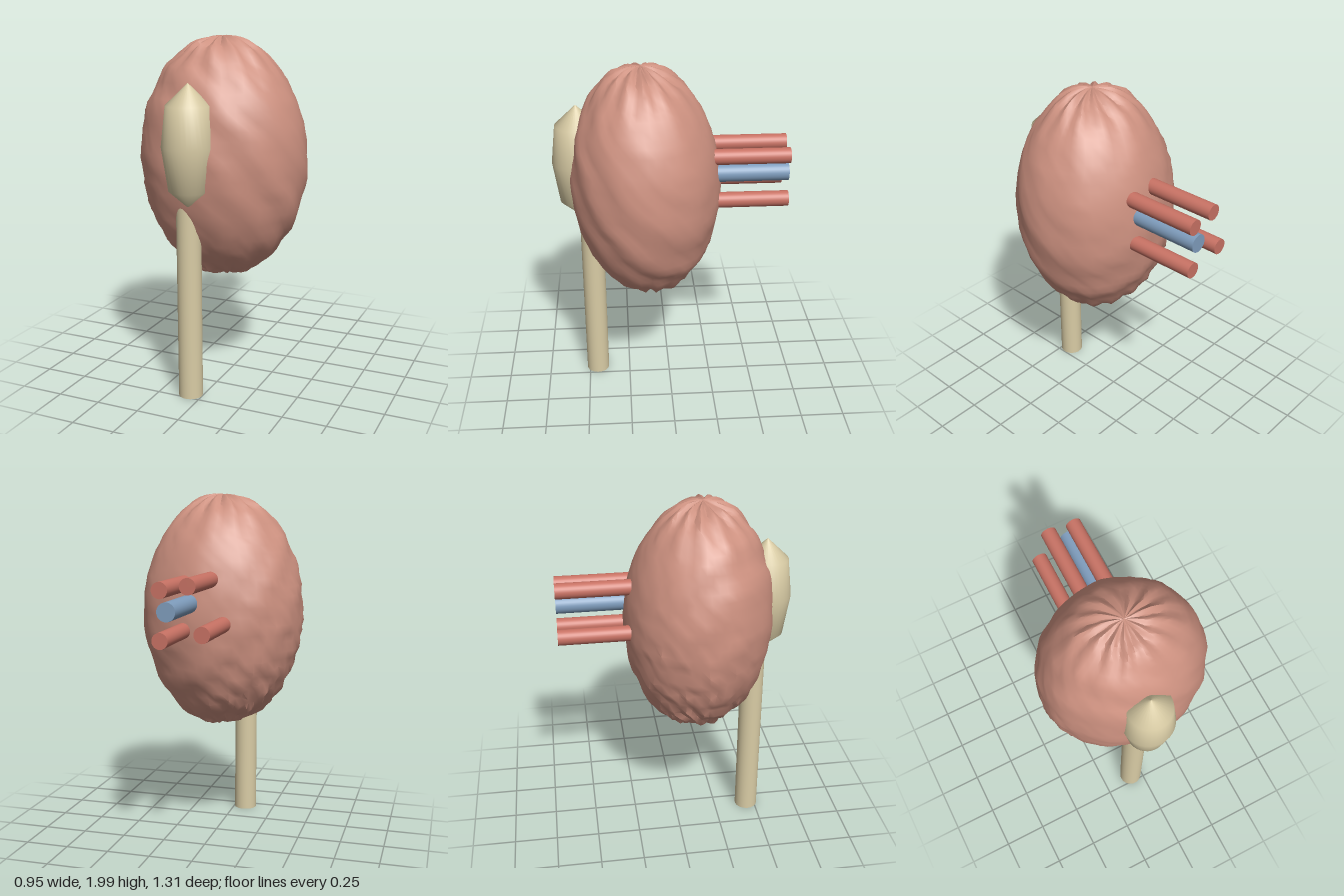
import * as THREE from 'three';
import { mergeVertices, toCreasedNormals } from 'three/addons/utils/BufferGeometryUtils.js';

const material = (color) => new THREE.MeshStandardMaterial({ color, side: THREE.DoubleSide });
const flesh = material(0xcd9180);
const red = material(0xc87264);
const blue = material(0x7f9dbd);
const cream = material(0xd9cca5);

function addPart(group, name, geometry, mat, x, y, z) {
  const mesh = new THREE.Mesh(geometry, mat);
  mesh.name = name;
  mesh.position.set(x, y, z);
  group.add(mesh);
  return mesh;
}

// Egg-shaped organ: an ellipsoid with soft lumps, pleats at the poles and ragged folds
function organGeometry() {
  let geo = new THREE.SphereGeometry(1, 56, 40);
  geo.deleteAttribute('uv');
  geo.deleteAttribute('normal');
  geo = mergeVertices(geo, 1e-4);
  const p = geo.attributes.position;
  const v = new THREE.Vector3();
  for (let i = 0; i < p.count; i++) {
    v.fromBufferAttribute(p, i);
    const angle = Math.atan2(v.z, v.x);
    const ring = Math.hypot(v.x, v.z);
    // Broad lumps over the whole surface
    let r = 1 + 0.012 * Math.sin(7 * v.x + 4 * v.y) * Math.cos(6 * v.z - 5 * v.y)
      + 0.008 * Math.sin(13 * v.y + 9 * v.x - 8 * v.z);
    // Spiral pleats gathered toward the top and bottom
    const pleat = Math.pow(Math.abs(v.y), 4) * Math.min(1, ring * 3);
    r += 0.022 * pleat * Math.sin(13 * angle + 5 * v.y * ring);
    // Stepped folds, strongest on the lower right of the back
    const ragged = 0.012 + 0.035 * THREE.MathUtils.smoothstep(-v.x - 0.8 * v.y - 0.2 * v.z, 0.3, 1.2);
    const fold = 5 * v.y + 0.5 * Math.sin(9 * angle) + 0.25 * Math.sin(17 * angle + 3 * v.y);
    r += ragged * (fold - Math.floor(fold) - 0.5) * Math.min(1, ring * 2);
    const twist = 0.025 * Math.sin(11 * v.y + 3 * angle);
    const c = Math.cos(twist), s = Math.sin(twist);
    p.setXYZ(i,
      0.472 * r * (v.x * c - v.z * s),
      0.67 * r * v.y,
      0.42 * r * (v.x * s + v.z * c) + 0.02 * v.y);
  }
  return toCreasedNormals(geo, 0.75);
}

export function createModel() {
  const model = new THREE.Group();
  model.name = 'organ';
  addPart(model, 'body', organGeometry(), flesh, 0, 1.32, 0.135);

  // Pointed sac on the front
  const sacProfile = [[0, -0.335], [0.11, -0.235], [0.145, 0], [0.12, 0.215], [0, 0.33]]
    .map(([r, y]) => new THREE.Vector2(r, y));
  addPart(model, 'frontSac', new THREE.LatheGeometry(sacProfile, 32), cream, -0.035, 1.44, 0.51);

  // Long tube running down to the ground
  addPart(model, 'lowerTube', new THREE.CylinderGeometry(0.068, 0.068, 1.2, 32), cream, -0.07, 0.6, 0.45);

  // Vessels leaving the back: [name, x, y, radius, material]
  const start = -0.18, end = -0.66;
  const vessels = [
    ['upperLeftVessel', 0.115, 1.505, 0.044, red],
    ['upperRightVessel', -0.035, 1.528, 0.044, red],
    ['lowerLeftVessel', 0.115, 1.245, 0.044, red],
    ['lowerRightVessel', -0.11, 1.285, 0.044, red],
    ['middleVessel', 0.08, 1.395, 0.051, blue],
  ];
  for (const [name, x, y, r, mat] of vessels) {
    const geo = new THREE.CylinderGeometry(r, r, start - end, 32).rotateX(Math.PI / 2);
    addPart(model, name, geo, mat, x, y, (start + end) / 2);
  }
  return model;
}
